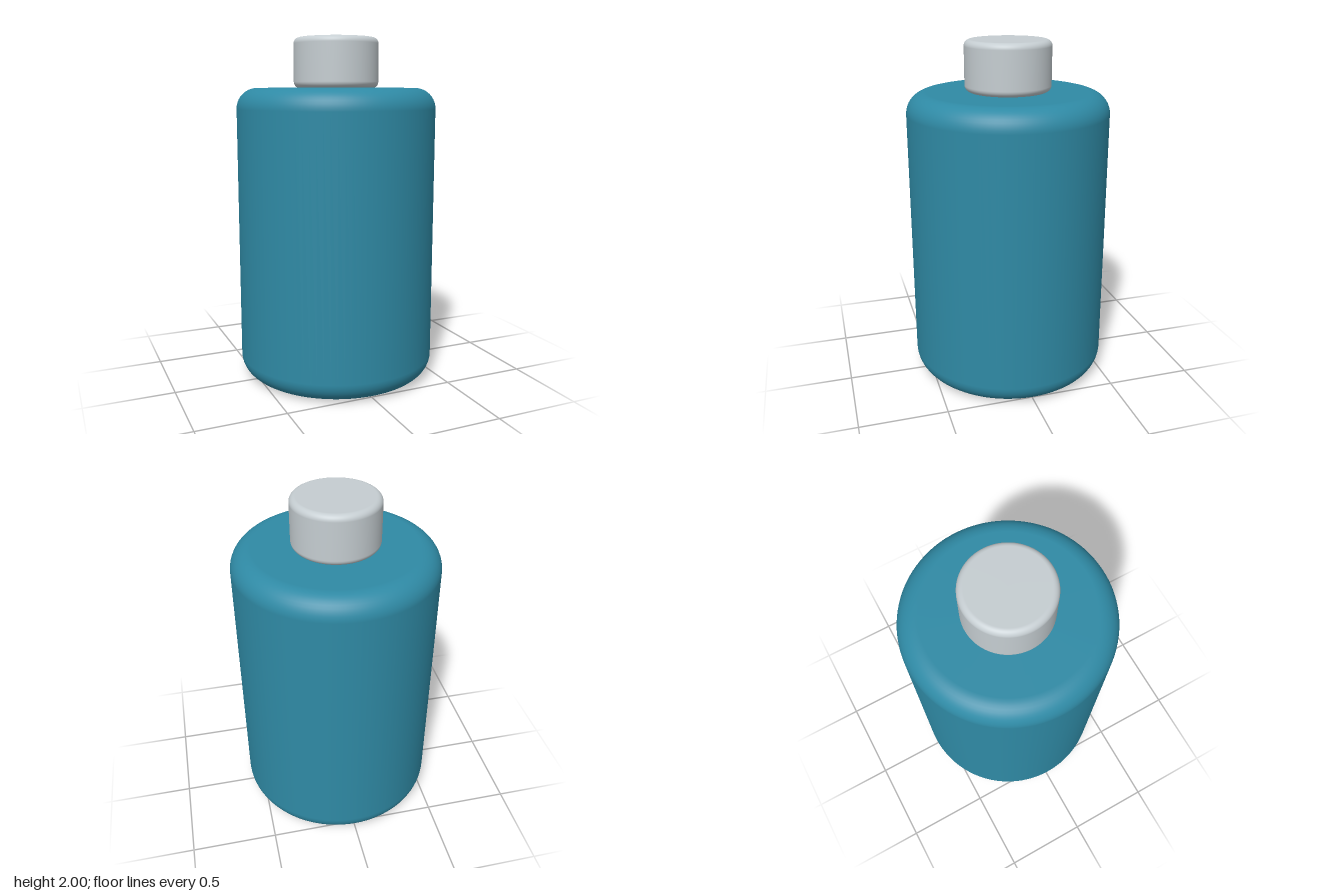
import * as THREE from 'three';

const teal = new THREE.MeshStandardMaterial({ color: 0x2f8aa5 });
teal.name = 'tealBody';
const grey = new THREE.MeshStandardMaterial({ color: 0xc5cdd1 });
grey.name = 'paleGreyCap';

// Solid of revolution: a cylinder with rounded top and bottom rims
function roundedCylinder(name, radius, bottom, top, rim, material) {
  const steps = 10;
  const points = [new THREE.Vector2(0, bottom)];
  const arc = (centreY, start) => {
    for (let i = 0; i <= steps; i++) {
      const a = start + (i / steps) * Math.PI / 2;
      points.push(new THREE.Vector2(radius - rim + rim * Math.cos(a), centreY + rim * Math.sin(a)));
    }
  };
  arc(bottom + rim, -Math.PI / 2);
  arc(top - rim, 0);
  points.push(new THREE.Vector2(0, top));
  const mesh = new THREE.Mesh(new THREE.LatheGeometry(points, 96), material);
  mesh.name = name;
  return mesh;
}

export function createModel() {
  const model = new THREE.Group();
  model.name = 'bottle';
  // Wide body with soft shoulders, and a small cap resting on it
  model.add(roundedCylinder('body', 0.58, 0, 1.713, 0.12, teal));
  model.add(roundedCylinder('cap', 0.247, 1.713, 2, 0.035, grey));
  return model;
}
